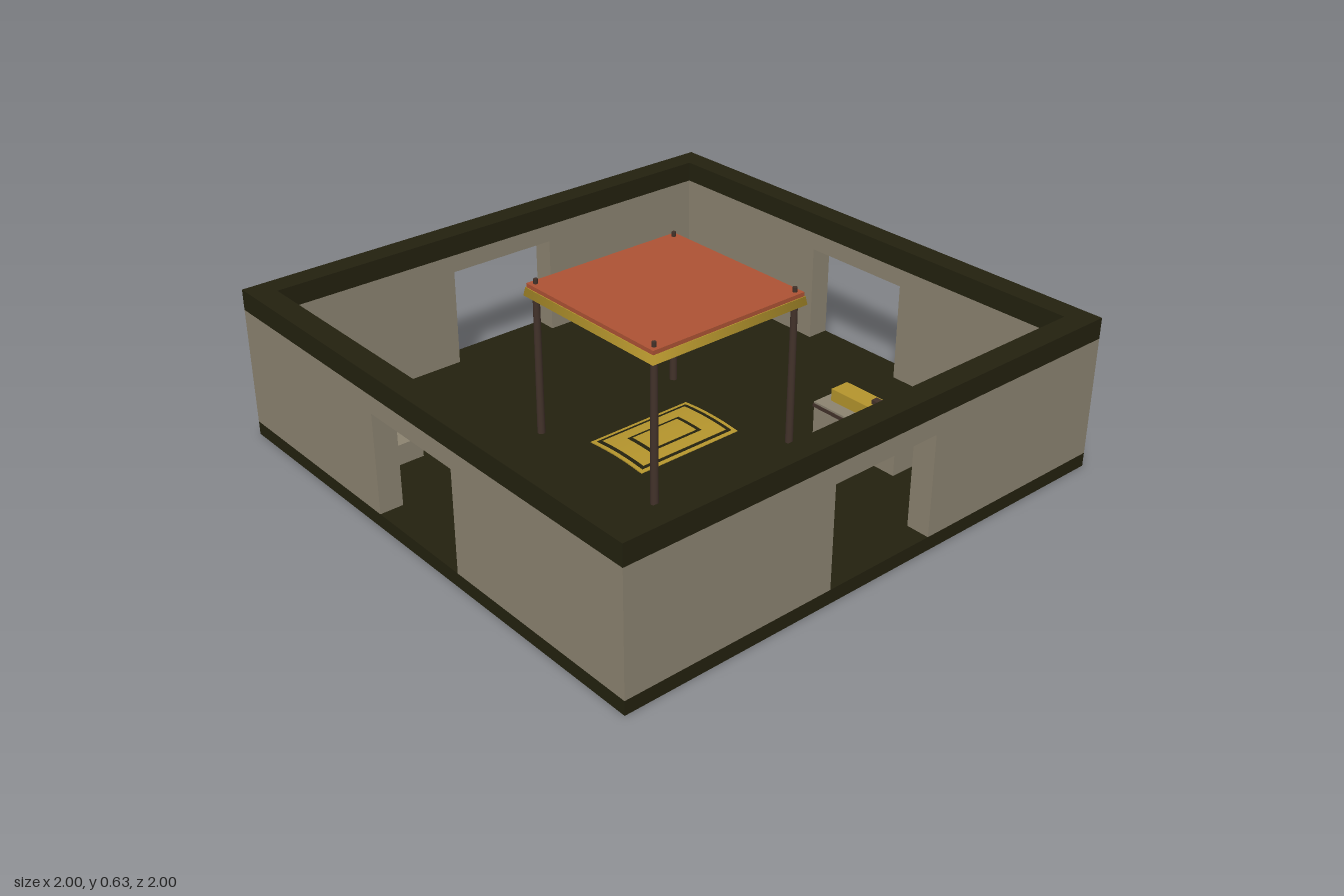
import * as THREE from 'three';

const paint = (name, color) => {
  const m = new THREE.MeshStandardMaterial({ color });
  m.name = name;
  return m;
};

export function createModel() {
  const root = new THREE.Group();
  root.name = 'courtyard';
  const dark = paint('dark earth', 0x23210f);
  const stone = paint('grey stone', 0x8c8471);
  const gold = paint('gold', 0xb5952d);
  const red = paint('terracotta', 0xae5334);
  const wood = paint('dark wood', 0x42322a);

  const add = (parent, name, geo, mat, x = 0, y = 0, z = 0) => {
    const mesh = new THREE.Mesh(geo, mat);
    mesh.name = name;
    mesh.position.set(x, y, z);
    parent.add(mesh);
    return mesh;
  };
  // Box given by its limits on each axis
  const box = (parent, name, mat, x0, x1, y0, y1, z0, z1) =>
    add(parent, name, new THREE.BoxGeometry(x1 - x0, y1 - y0, z1 - z0), mat,
      (x0 + x1) / 2, (y0 + y1) / 2, (z0 + z1) / 2);
  const group = (name) => {
    const g = new THREE.Group();
    g.name = name;
    root.add(g);
    return g;
  };

  // Floor slab
  box(root, 'floor', dark, -1, 1, 0, 0.05, -1, 1);

  // Four walls, each with a doorway, set like a pinwheel so corners do not overlap
  const inner = 0.915, door = 0.215;
  for (let i = 0; i < 4; i++) {
    const side = group('wallSide');
    side.rotation.y = i * Math.PI / 2;
    const s = new THREE.Shape();
    [[-1, 0.05], [-door, 0.05], [-door, 0.415], [door, 0.415], [door, 0.05],
      [inner, 0.05], [inner, 0.48], [-1, 0.48]]
      .forEach(([x, y], k) => (k ? s.lineTo(x, y) : s.moveTo(x, y)));
    add(side, 'wall', new THREE.ExtrudeGeometry(s, { depth: 1 - inner, bevelEnabled: false }),
      stone, 0, 0, inner);
    box(side, 'wallCap', dark, -1, inner, 0.48, 0.555, inner, 1);
  }

  // Canopy: four posts through a tapered gold rim and a terracotta roof
  const canopy = group('canopy');
  for (const x of [-0.3, 0.3]) for (const z of [-0.3, 0.3]) {
    add(canopy, 'post', new THREE.CylinderGeometry(0.012, 0.014, 0.53, 12), wood, x, 0.315, z);
    add(canopy, 'postTip', new THREE.CylinderGeometry(0.008, 0.008, 0.05, 10), wood, x, 0.605, z);
  }
  const rim = new THREE.CylinderGeometry(0.325 * Math.SQRT2, 0.33 * Math.SQRT2, 0.03, 4);
  rim.rotateY(Math.PI / 4);
  add(canopy, 'canopyRim', rim.toNonIndexed(), gold, 0, 0.583, 0);
  box(canopy, 'canopyRoof', red, -0.322, 0.322, 0.598, 0.613, -0.322, 0.322);
  // Hanging lamp under the roof
  add(canopy, 'lampRod', new THREE.CylinderGeometry(0.005, 0.005, 0.08, 8), wood, 0, 0.535, 0);
  add(canopy, 'lamp', new THREE.SphereGeometry(0.025, 16, 10), gold, 0, 0.49, 0);

  // Gently arched rug with nested gold borders
  const rug = group('rug');
  const layer = (name, mat, w, d, lift) => {
    const g = new THREE.BoxGeometry(w * 2, 0.004, d * 2, 16, 1, 1);
    const p = g.attributes.position;
    for (let i = 0; i < p.count; i++) {
      const t = p.getX(i) / 0.135;
      p.setY(i, p.getY(i) + 0.008 * (1 - t * t));
    }
    g.computeVertexNormals();
    add(rug, name, g, mat, 0, 0.05 + lift, 0);
  };
  layer('rugBorder', gold, 0.135, 0.215, 0);
  layer('rugGap', dark, 0.12, 0.2, 0.001);
  layer('rugField', gold, 0.108, 0.185, 0.002);
  layer('rugInnerLine', dark, 0.06, 0.115, 0.003);
  layer('rugCentre', gold, 0.05, 0.1, 0.004);

  // Corner benches with gold cushions
  for (const x of [-0.6, 0.596]) for (const z of [-0.765, 0.763]) {
    const bench = group('bench');
    bench.position.set(x, 0, z);
    box(bench, 'benchBlock', stone, -0.17, 0.17, 0.05, 0.125, -0.068, 0.068);
    box(bench, 'cushion', gold, -0.135, -0.047, 0.125, 0.15, -0.033, 0.033);
  }

  // Pedestal with a gold casket
  const pedestal = group('pedestal');
  box(pedestal, 'pedestalBlock', stone, 0.312, 0.683, 0.05, 0.175, -0.572, -0.402);
  box(pedestal, 'pedestalTrim', wood, 0.309, 0.686, 0.155, 0.168, -0.577, -0.399);
  box(pedestal, 'casket', gold, 0.345, 0.615, 0.175, 0.22, -0.525, -0.45);
  box(pedestal, 'casketClasp', wood, 0.505, 0.535, 0.22, 0.235, -0.5, -0.475);
  add(pedestal, 'knobRing', new THREE.CylinderGeometry(0.018, 0.018, 0.03, 16), wood, 0.63, 0.2, -0.487);
  add(pedestal, 'knob', new THREE.SphereGeometry(0.013, 14, 10), gold, 0.63, 0.216, -0.487);

  return root;
}
